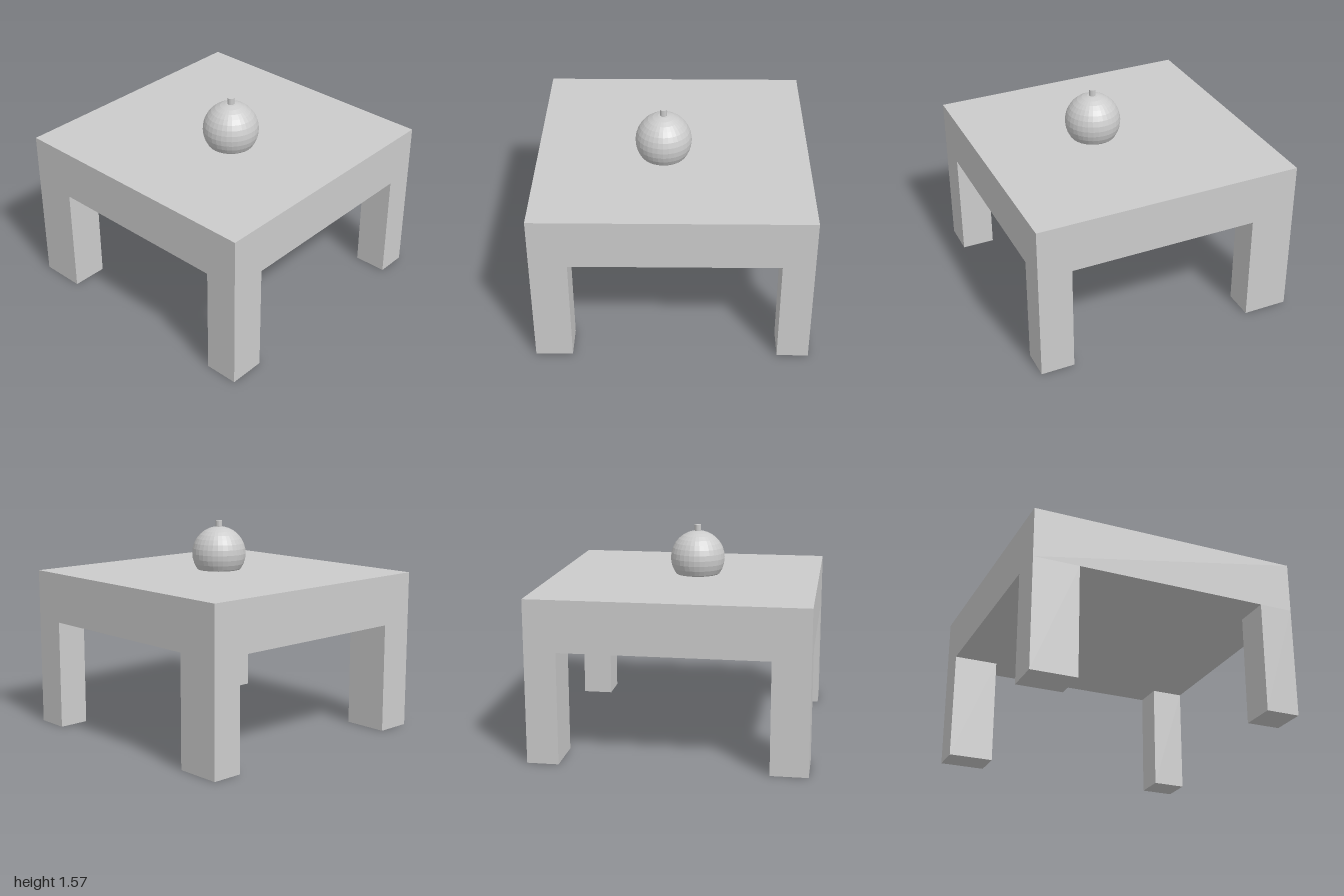
import * as THREE from 'three';

export function createModel() {
  const group = new THREE.Group();
  const grey = new THREE.MeshStandardMaterial({ color: 0xcccccc, flatShading: true });

  const add = (name, geometry, x, y, z) => {
    const mesh = new THREE.Mesh(geometry, grey);
    mesh.name = name;
    mesh.position.set(x, y, z);
    group.add(mesh);
  };

  // Thick square table top
  const under = 0.82, top = 1.195;
  add('tableTop', new THREE.BoxGeometry(2, top - under, 2), 0, (under + top) / 2, 0);

  // Corner legs, flush with the sides; widths differ by side, depths by end
  const sides = [['Right', -1, 0.337], ['Left', 1, 0.25]];
  const ends = [['front', 1, 0.27], ['back', -1, 0.23]];
  for (const [side, sx, w] of sides) {
    for (const [end, sz, d] of ends) {
      add(`${end}${side}Leg`, new THREE.BoxGeometry(w, under, d),
        sx * (1 - w / 2), under / 2, sz * (1 - d / 2));
    }
  }

  // Ball sunk slightly into the table top, with a short stem
  const r = 0.207, bx = 0.12, by = 1.318, bz = 0.07;
  add('ball', new THREE.SphereGeometry(r, 32, 16), bx, by, bz);
  add('stem', new THREE.CylinderGeometry(0.025, 0.025, 0.07, 16), bx, 1.536, bz);

  return group;
}
